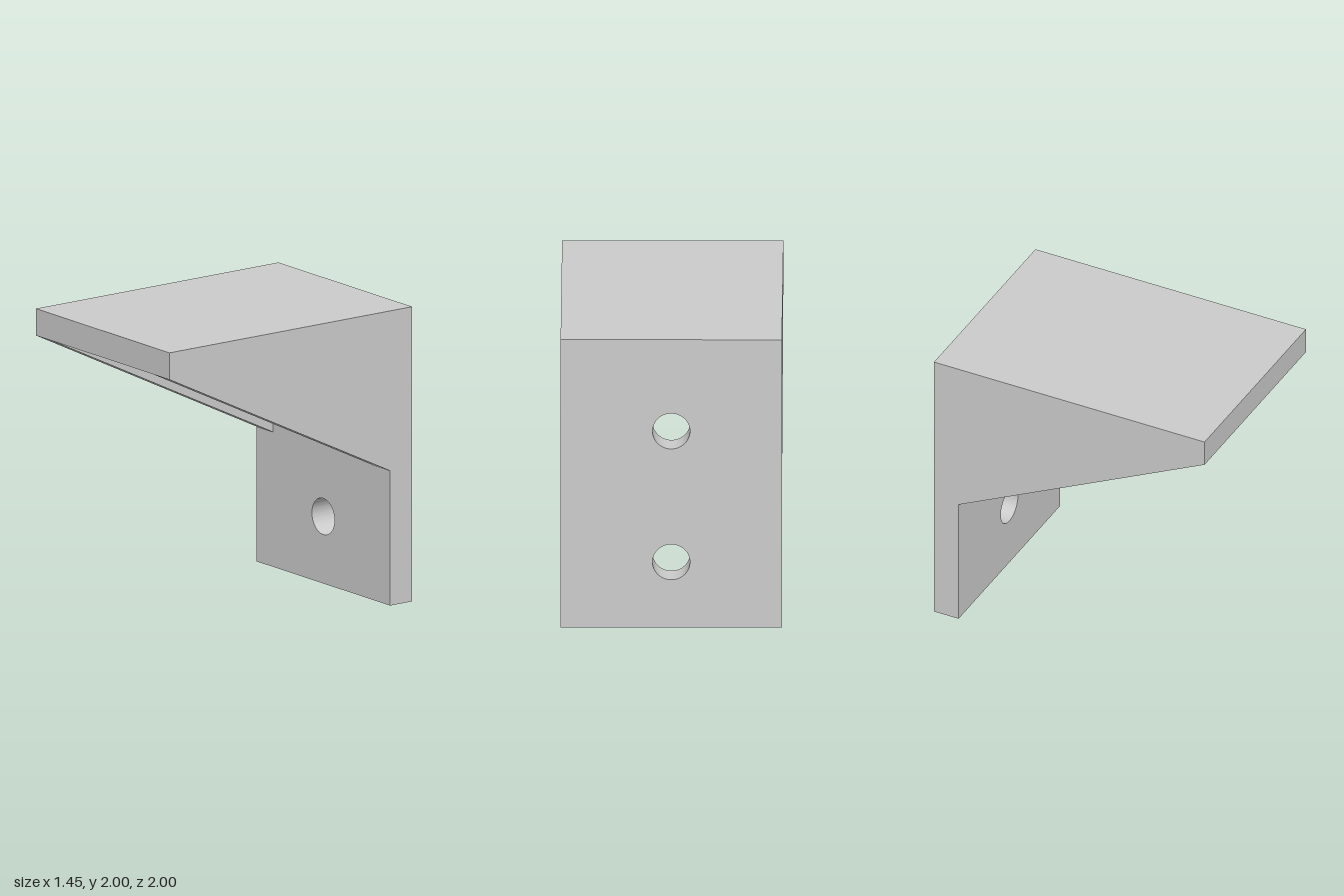
import * as THREE from 'three';
import { toCreasedNormals } from 'three/addons/utils/BufferGeometryUtils.js';

const HALF_W = 0.727, T = 0.182, HEIGHT = 2;
const HOLE_R = 0.123, HOLE_Y = [0.455, 1.364];
const GUSSET_BOTTOM = 0.915;
const PLATE_FRONT = -1 + T, SHELF_BOTTOM = HEIGHT - T;

const material = new THREE.MeshStandardMaterial({ color: 0xcccccc });

function addPart(group, name, geometry) {
  const mesh = new THREE.Mesh(geometry, material);
  mesh.name = name;
  group.add(mesh);
  return mesh;
}

export function createModel() {
  const group = new THREE.Group();
  group.name = 'shelfBracket';

  // Upright mounting plate with two round screw holes
  const plate = new THREE.Shape([
    new THREE.Vector2(-HALF_W, 0),
    new THREE.Vector2(HALF_W, 0),
    new THREE.Vector2(HALF_W, HEIGHT),
    new THREE.Vector2(-HALF_W, HEIGHT),
  ]);
  for (const y of HOLE_Y) {
    plate.holes.push(new THREE.Path().absarc(0, y, HOLE_R, 0, Math.PI * 2, true));
  }
  const plateGeometry = new THREE.ExtrudeGeometry(plate, {
    depth: T, bevelEnabled: false, curveSegments: 48,
  });
  addPart(group, 'backPlate', toCreasedNormals(plateGeometry, 0.6)).position.z = -1;

  // Horizontal shelf, butted against the front of the plate
  const shelfDepth = 1 - PLATE_FRONT;
  addPart(group, 'topShelf', new THREE.BoxGeometry(2 * HALF_W, T, shelfDepth))
    .position.set(0, HEIGHT - T / 2, 1 - shelfDepth / 2);

  // Triangular gussets closing both sides; profile drawn as (z, y)
  const gusset = new THREE.Shape([
    new THREE.Vector2(PLATE_FRONT, GUSSET_BOTTOM),
    new THREE.Vector2(1, SHELF_BOTTOM),
    new THREE.Vector2(PLATE_FRONT, SHELF_BOTTOM),
  ]);
  const gussetGeometry = new THREE.ExtrudeGeometry(gusset, { depth: T, bevelEnabled: false });
  gussetGeometry.rotateY(-Math.PI / 2); // now spans x = -T..0
  addPart(group, 'leftGusset', gussetGeometry).position.x = HALF_W;
  addPart(group, 'rightGusset', gussetGeometry).position.x = -HALF_W + T;

  return group;
}
